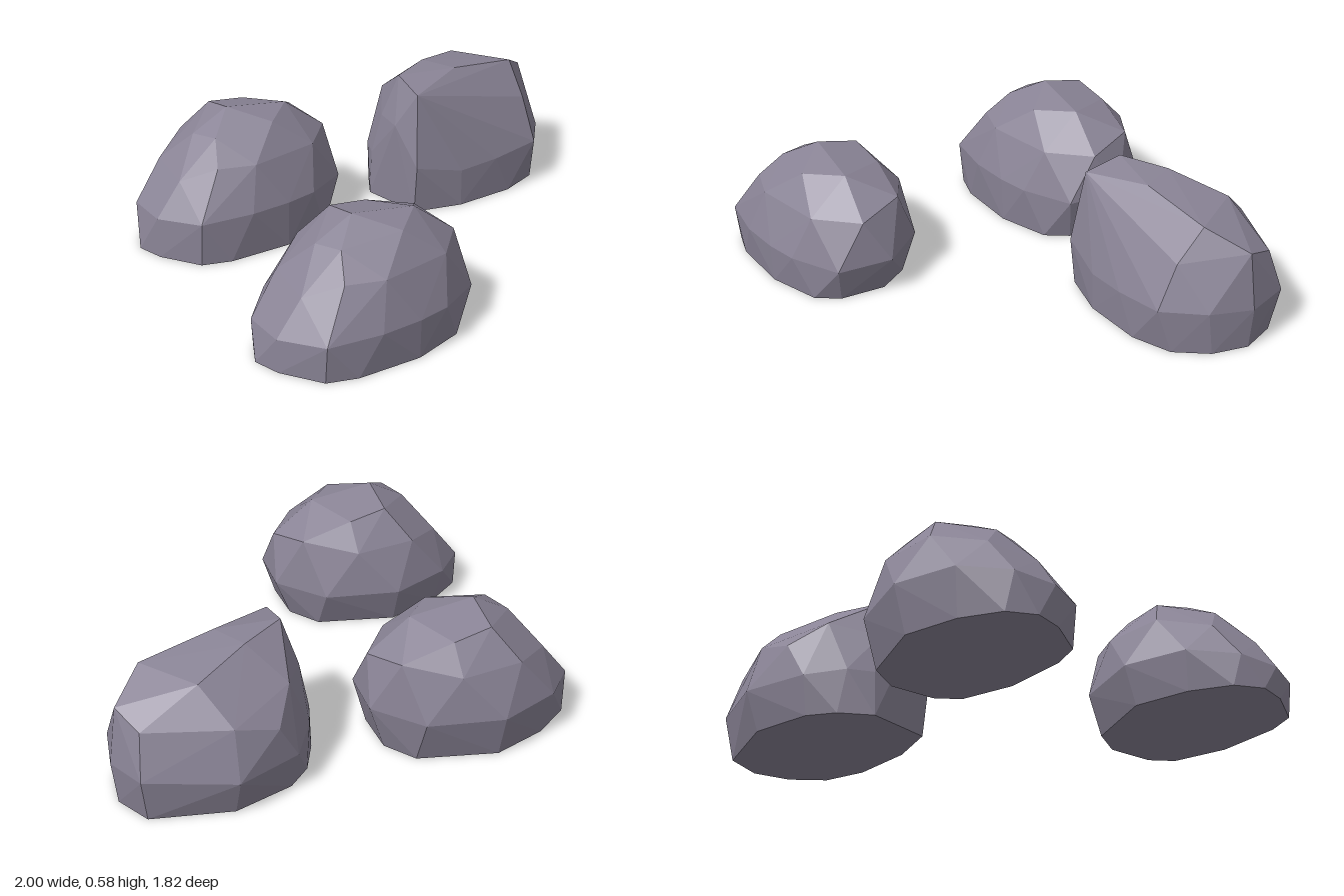
import * as THREE from 'three';
import { ConvexGeometry } from 'three/addons/geometries/ConvexGeometry.js';

const stone = new THREE.MeshStandardMaterial({ color: 0x8a8496, flatShading: true });

// Rounded boulder: footprint (x, z), then corner points (x, y, z)
const roundBase = [
  [-1, 0.58], [-0.96, 0.70], [-0.84, 0.86], [-0.71, 0.89], [-0.43, 0.87], [-0.21, 0.78],
  [-0.15, 0.68], [-0.15, 0.48], [-0.24, 0.35], [-0.57, 0.27], [-0.80, 0.35], [-0.95, 0.46],
];
const roundBody = [
  // widest ring
  [-0.97, 0.14, 0.49], [-0.96, 0.14, 0.69], [-0.84, 0.16, 0.88], [-0.61, 0.17, 0.905],
  [-0.43, 0.17, 0.88], [-0.29, 0.17, 0.84], [-0.10, 0.16, 0.71], [-0.08, 0.17, 0.47],
  [-0.25, 0.165, 0.28], [-0.57, 0.165, 0.215], [-0.83, 0.165, 0.32],
  // shoulder
  [-0.72, 0.36, 0.80], [-0.56, 0.36, 0.84], [-0.25, 0.36, 0.76], [-0.11, 0.36, 0.585],
  [-0.18, 0.405, 0.39], [-0.40, 0.36, 0.28], [-0.67, 0.36, 0.31], [-0.84, 0.31, 0.46],
  [-0.85, 0.29, 0.69],
  // crown
  [-0.57, 0.535, 0.58], [-0.29, 0.50, 0.58], [-0.42, 0.485, 0.72], [-0.68, 0.455, 0.70],
  [-0.73, 0.445, 0.58], [-0.57, 0.495, 0.40], [-0.40, 0.47, 0.38],
];

// Angular boulder with a slanting left face and a sharp ridge
const angularBase = [
  [0.13, -0.54], [0.20, -0.26], [0.42, -0.22], [0.69, -0.25], [0.86, -0.33], [0.95, -0.47],
  [0.975, -0.63], [0.90, -0.78], [0.56, -0.85], [0.30, -0.77], [0.20, -0.68],
];
const angularBody = [
  // widest ring
  [0.14, 0.20, -0.54], [0.20, 0.22, -0.235], [0.42, 0.17, -0.215], [0.61, 0.18, -0.23],
  [0.84, 0.20, -0.27], [0.96, 0.20, -0.44], [1.00, 0.19, -0.63], [0.93, 0.20, -0.81],
  [0.56, 0.17, -0.91], [0.28, 0.17, -0.80], [0.18, 0.20, -0.65],
  // shoulder
  [0.16, 0.39, -0.36], [0.17, 0.39, -0.50], [0.83, 0.39, -0.36], [0.97, 0.44, -0.62],
  [0.91, 0.39, -0.75], [0.56, 0.385, -0.85], [0.37, 0.33, -0.83], [0.28, 0.44, -0.69],
  // crown
  [0.23, 0.545, -0.285], [0.23, 0.585, -0.45], [0.50, 0.577, -0.42], [0.83, 0.53, -0.48],
  [0.42, 0.58, -0.57], [0.66, 0.53, -0.71],
];

// Faceted hull over a flat footprint; lift raises everything above the ground
function boulder(name, base, body, lift = 0, z = 0) {
  const points = [
    ...base.map(([x, pz]) => new THREE.Vector3(x, 0, pz)),
    ...body.map(([x, y, pz]) => new THREE.Vector3(x, y + lift, pz)),
  ];
  const mesh = new THREE.Mesh(new ConvexGeometry(points), stone);
  mesh.name = name;
  mesh.position.z = z;
  return mesh;
}

export function createModel() {
  const group = new THREE.Group();
  group.name = 'boulders';
  group.add(
    boulder('frontBoulder', roundBase, roundBody),
    boulder('backBoulder', roundBase, roundBody, 0.035, -1.12),
    boulder('angularBoulder', angularBase, angularBody),
  );
  return group;
}
